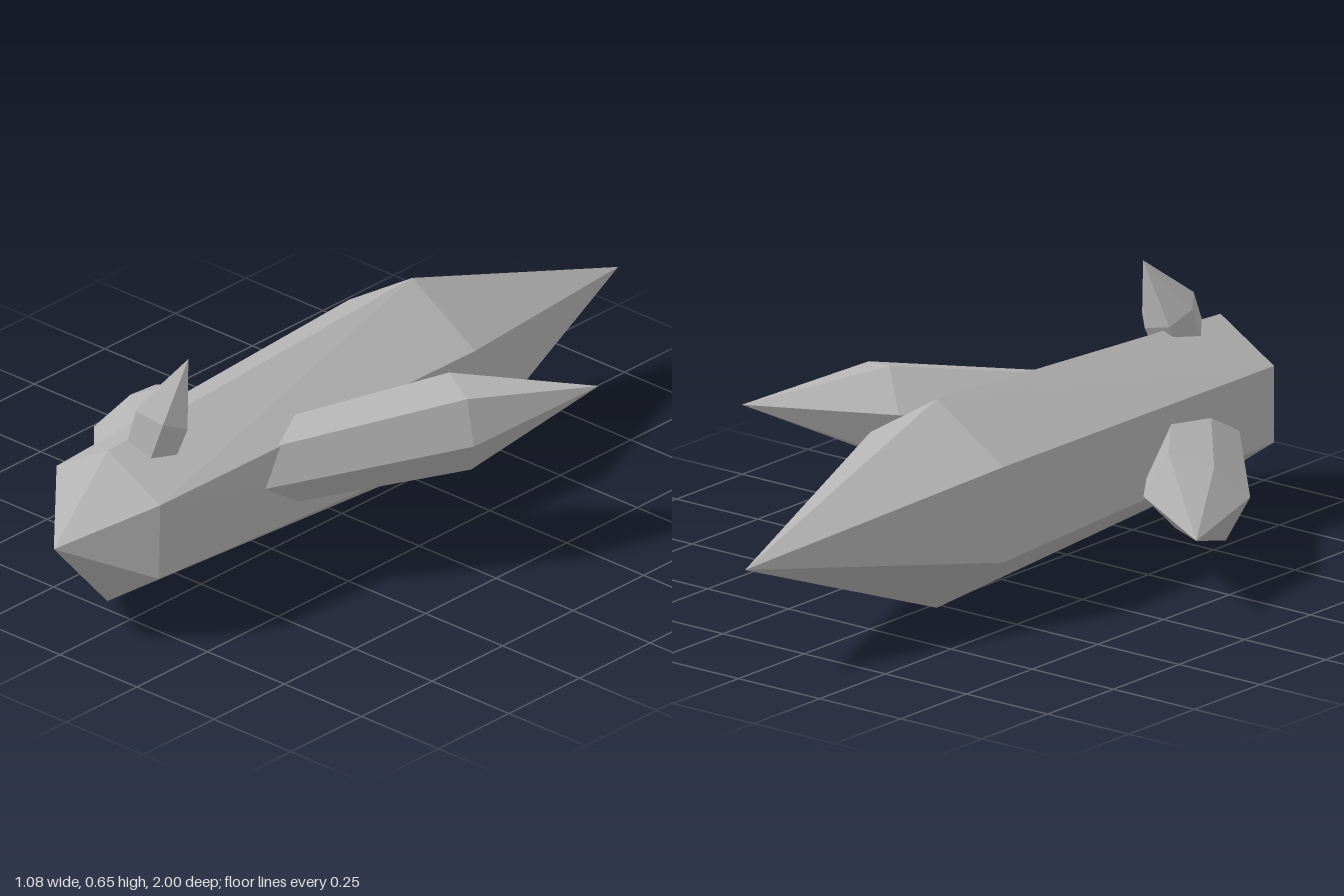
import * as THREE from 'three';
import { ConvexGeometry } from 'three/addons/geometries/ConvexGeometry.js';

const v = (p) => new THREE.Vector3(...p);

export function createModel() {
  const model = new THREE.Group();
  const stone = new THREE.MeshStandardMaterial({ color: 0xb4b4b4, flatShading: true });
  stone.name = 'greyCrystal';

  // Each crystal is a faceted convex solid
  function addCrystal(name, points) {
    const mesh = new THREE.Mesh(new ConvexGeometry(points), stone);
    mesh.name = name;
    model.add(mesh);
  }

  // Pointed shard: tip, six shoulder corners, and the same ring shrunk at the base
  function addShard(name, tip, shoulder, baseCentre, taper) {
    const ring = shoulder.map(v);
    const centre = new THREE.Vector3();
    ring.forEach((p) => centre.addScaledVector(p, 1 / ring.length));
    const base = ring.map((p) => p.clone().sub(centre).multiplyScalar(taper).add(v(baseCentre)));
    addCrystal(name, [v(tip), ...ring, ...base]);
  }

  // Main crystal, lying along z with a point at both ends
  const frontRing = [[-0.02, 0.47], [0.152, 0.383], [0.147, 0.183], [-0.02, 0.065], [-0.185, 0.18], [-0.185, 0.372]];
  const backRing = [[-0.02, 0.525], [0.185, 0.4], [0.19, 0.158], [-0.02, 0], [-0.225, 0.155], [-0.225, 0.395]];
  addCrystal('mainCrystal', [
    v([-0.02, 0.277, 1]),
    ...frontRing.map(([x, y]) => v([x, y, 0.81])),
    ...backRing.map(([x, y]) => v([x, y, -0.27])),
    v([-0.02, 0.277, -1]),
  ]);

  // Large shard on the left side
  addShard('leftCrystal', [0.54, 0.41, -0.32], [
    [0.42, 0.46, 0.015], [0.455, 0.35, 0.03], [0.4, 0.25, -0.02],
    [0.28, 0.28, -0.09], [0.235, 0.39, -0.1], [0.32, 0.48, -0.03],
  ], [0.08, 0.31, 0.4], 0.82);

  // Shorter shard on the right side
  addShard('rightCrystal', [-0.54, 0.187, 0.075], [
    [-0.413, 0.29, 0.3], [-0.47, 0.21, 0.367], [-0.418, 0.098, 0.338],
    [-0.325, 0.13, 0.26], [-0.268, 0.21, 0.21], [-0.325, 0.325, 0.235],
  ], [-0.115, 0.245, 0.6], 0.8);

  // Small shard standing on top near the front
  addShard('topCrystal', [0.035, 0.65, 0.583], [
    [-0.01, 0.545, 0.72], [0.06, 0.525, 0.7], [0.08, 0.495, 0.635],
    [0.03, 0.48, 0.583], [-0.04, 0.495, 0.59], [-0.055, 0.525, 0.66],
  ], [-0.003, 0.4, 0.69], 0.9);

  return model;
}
